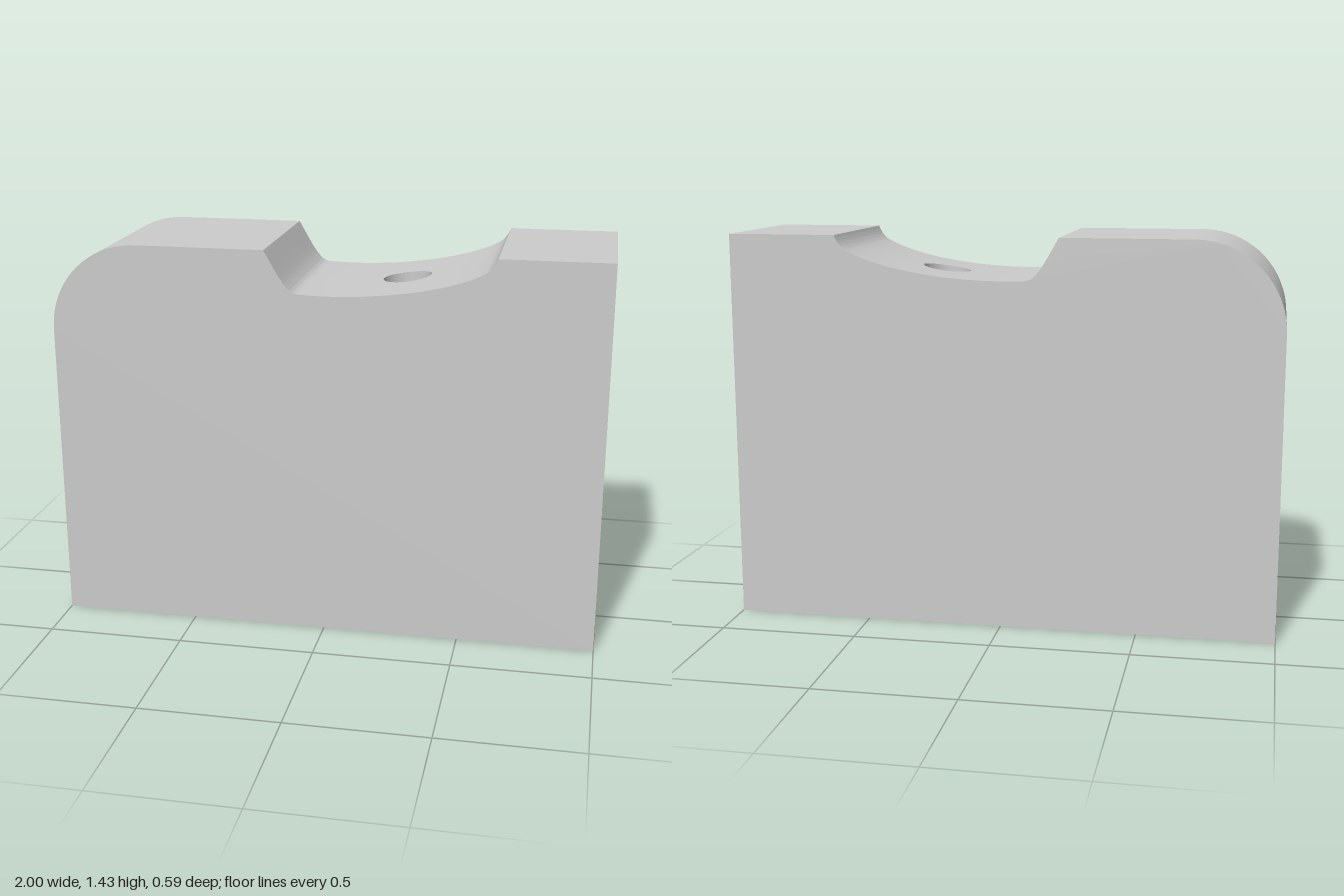
import * as THREE from 'three';
import { toCreasedNormals } from 'three/addons/utils/BufferGeometryUtils.js';

const H = 1.43, D = 0.295;                       // height, half depth
const TOP = { x: 0.257, r: 0.088, bottom: 0.8 };  // hole in the saddle
const SIDE = { ys: [0.288, 1.145], r: 0.076, depth: 0.45 }; // holes in the end face
const SEG = 32;

// Outline over the top: rounded corner, saddle, flat end
function topProfile() {
  const p = new THREE.Path();
  p.moveTo(-1, 0);
  p.lineTo(-1, H - 0.32);
  p.absarc(-0.68, H - 0.32, 0.32, Math.PI, Math.PI / 2, true);
  p.lineTo(-0.21, H);
  p.bezierCurveTo(-0.17, 1.36, -0.15, 1.32, -0.125, 1.296);
  p.quadraticCurveTo(-0.11, 1.277, -0.08, 1.277);
  p.lineTo(0, 1.275);
  p.bezierCurveTo(0.22, 1.275, 0.45, 1.315, 0.56, 1.375);
  p.quadraticCurveTo(0.588, 1.39, 0.605, H);
  p.lineTo(1, H);
  return p.getPoints(20);
}

function heightAt(points, x) {
  const i = points.findIndex((p) => p.x > x);
  const a = points[i - 1], b = points[i];
  return a.y + (b.y - a.y) * (x - a.x) / (b.x - a.x);
}

// Swap the points across the hole for ones that match its rim
function withHoleSamples(points) {
  const inHole = (p) => Math.abs(p.x - TOP.x) <= TOP.r + 0.001 && p.y < H;
  const rim = [];
  for (let i = 0; i <= SEG / 2; i++) {
    const t = (i / SEG) * Math.PI * 2;
    const x = TOP.x - TOP.r * Math.cos(t);
    const p = new THREE.Vector2(x, heightAt(points, x));
    p.gap = TOP.r * Math.sin(t);
    rim.push(p);
  }
  const before = points.filter((p) => p.x < TOP.x && !inHole(p));
  const after = points.filter((p) => p.x > TOP.x && !inHole(p));
  return [...before, ...rim, ...after];
}

// Two mirrored strips that part around the hole
function skinGeometry(points) {
  const pos = [];
  for (let i = 0; i < points.length - 1; i++) {
    const p = points[i], q = points[i + 1];
    for (const s of [1, -1]) {
      const a = [p.x, p.y, s * (p.gap || 0)], b = [p.x, p.y, s * D];
      const c = [q.x, q.y, s * D], d = [q.x, q.y, s * (q.gap || 0)];
      pos.push(...(s > 0 ? [a, b, c, a, c, d] : [a, c, b, a, d, c]).flat());
    }
  }
  const g = new THREE.BufferGeometry();
  g.setAttribute('position', new THREE.Float32BufferAttribute(pos, 3));
  return toCreasedNormals(g, 0.5);
}

export function createModel() {
  const group = new THREE.Group();
  const grey = new THREE.MeshStandardMaterial({ color: 0xcccccc });
  const inner = new THREE.MeshStandardMaterial({ color: 0xcccccc, side: THREE.BackSide });
  const add = (name, geometry, material = grey) => {
    const mesh = new THREE.Mesh(geometry, material);
    mesh.name = name;
    group.add(mesh);
    return mesh;
  };

  const points = withHoleSamples(topProfile());
  add('topSkin', skinGeometry(points));

  // Large flat faces
  const outline = new THREE.Shape([...points, new THREE.Vector2(1, 0)]);
  add('frontFace', new THREE.ShapeGeometry(outline)).position.z = D;
  add('backFace', new THREE.ShapeGeometry(outline).scale(-1, 1, 1).rotateY(Math.PI), inner).position.z = -D;
  add('bottomFace', new THREE.PlaneGeometry(2, 2 * D).rotateX(Math.PI / 2));

  // End face with two holes
  const end = new THREE.Shape();
  end.moveTo(-D, 0).lineTo(D, 0).lineTo(D, H).lineTo(-D, H).closePath();
  for (const y of SIDE.ys) {
    end.holes.push(new THREE.Path().absarc(0, y, SIDE.r, 0, Math.PI * 2, true));
  }
  add('endFace', new THREE.ShapeGeometry(end, SEG).rotateY(Math.PI / 2)).position.x = 1;

  // Blind bores in the end face
  for (const y of SIDE.ys) {
    const bore = new THREE.CylinderGeometry(SIDE.r, SIDE.r, SIDE.depth, SEG, 1, true);
    add('sideBore', bore.rotateZ(Math.PI / 2), inner).position.set(1 - SIDE.depth / 2, y, 0);
    add('sideBoreEnd', new THREE.CircleGeometry(SIDE.r, SEG).rotateY(Math.PI / 2))
      .position.set(1 - SIDE.depth, y, 0);
  }

  // Blind bore in the saddle, its rim following the curve
  const bore = new THREE.CylinderGeometry(TOP.r, TOP.r, 1, SEG, 1, true);
  const v = bore.attributes.position;
  for (let i = 0; i < v.count; i++) {
    v.setY(i, v.getY(i) > 0 ? heightAt(points, TOP.x + v.getX(i)) : TOP.bottom);
  }
  add('saddleBore', bore, inner).position.x = TOP.x;
  add('saddleBoreEnd', new THREE.CircleGeometry(TOP.r, SEG).rotateX(-Math.PI / 2))
    .position.set(TOP.x, TOP.bottom, 0);

  return group;
}
